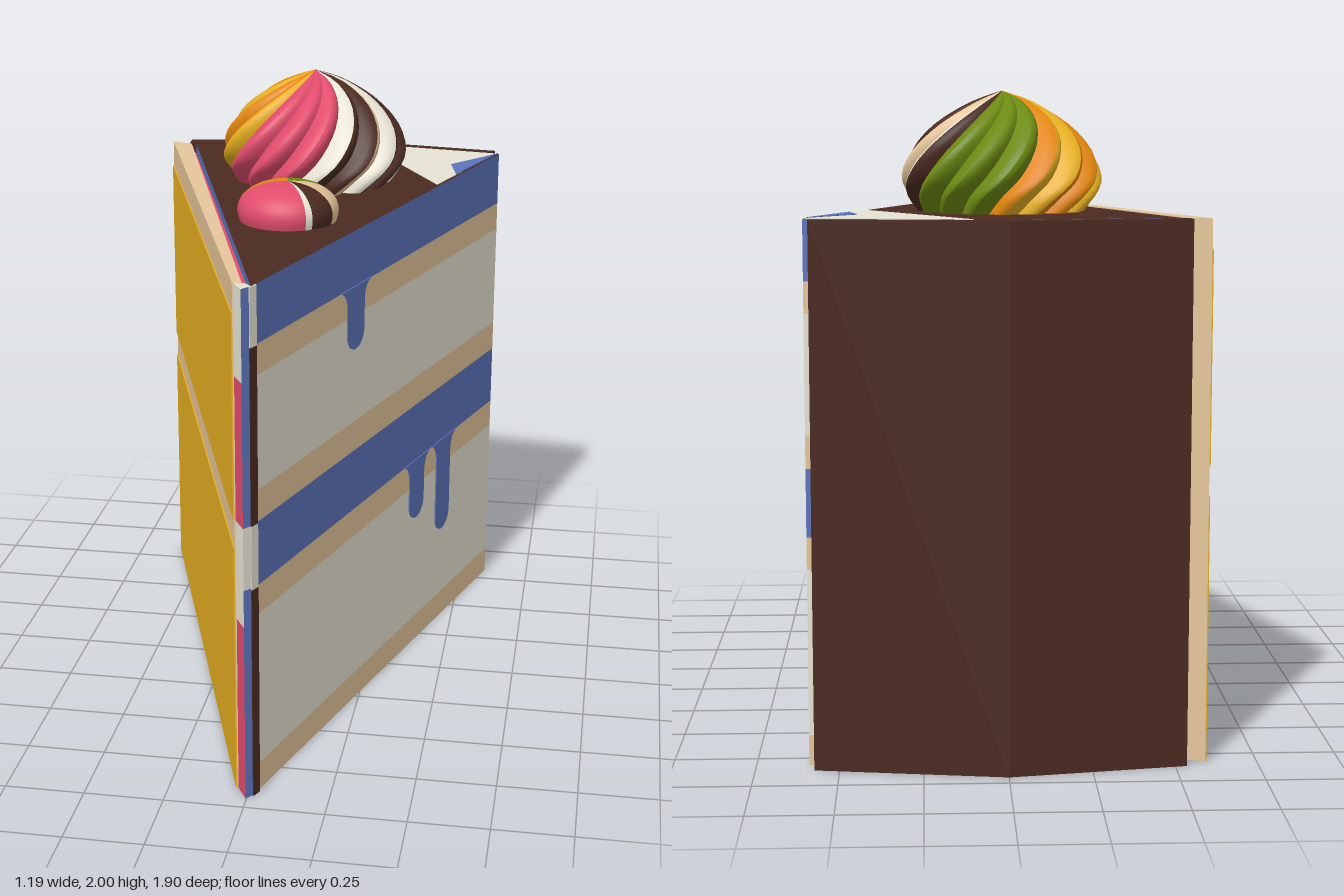
import * as THREE from 'three';

const mat = (name, color) => {
  const m = new THREE.MeshStandardMaterial({ color });
  m.name = name;
  return m;
};
const brown = mat('chocolate', 0x4a2a21);
const blue = mat('blueberry', 0x5d74bd);
const cream = mat('cream', 0xe8e4d4);
const tan = mat('biscuit', 0xe6c69b);
const yellow = mat('custard', 0xe8b021);
const pink = mat('raspberry', 0xe04c6c);
const green = mat('pistachio', 0x6c8a12);
const orange = mat('orange', 0xe2860f);

const H = 1.63;

function add(parent, name, geometry, material) {
  const m = new THREE.Mesh(geometry, material);
  m.name = name;
  parent.add(m);
  return m;
}

// Upright prism from an [x, z] outline between two heights
function prism(parent, name, outline, y0, y1, cap, side = cap) {
  const shape = new THREE.Shape(outline.map(([x, z]) => new THREE.Vector2(x, -z)));
  const g = new THREE.ExtrudeGeometry(shape, { depth: y1 - y0, bevelEnabled: false });
  g.rotateX(-Math.PI / 2).translate(0, y0, 0);
  return add(parent, name, g, [cap, side]);
}

// Sponge and icing layers of the wedge, with thin patches on top and underneath
function buildLayers(cake) {
  const wedge = [[0.02, 0.92], [0.592, -0.82], [0.02, -0.91], [-0.505, -0.8]];
  const bands = [
    [0.002, 0.095, tan], [0.095, 0.6, cream], [0.6, 0.695, tan], [0.695, 0.9, blue],
    [0.9, 1, tan], [1, 1.355, cream], [1.355, 1.45, tan], [1.45, H, blue],
  ];
  for (const [y0, y1, m] of bands) {
    prism(cake, m === blue ? 'icingLayer' : 'spongeLayer', wedge, y0, y1, brown, m);
  }
  prism(cake, 'topCreamPatch', [[0.583, -0.815], [0.1, -0.892], [0.42, -0.33]], H, H + 0.002, cream);
  prism(cake, 'topBluePatch', [[0.58, -0.8], [0.44, -0.62], [0.47, -0.48]], H, H + 0.004, blue);
  prism(cake, 'bottomCreamPatch', [[0.02, 0.9], [0.22, 0.28], [-0.17, 0.28]], 0, 0.002, cream);
  prism(cake, 'bottomBluePatch', [[-0.17, 0.28], [-0.02, 0.28], [-0.28, -0.84], [-0.5, -0.8]], 0, 0.002, blue);
}

// Rounded icing drips on the long +x cut face
function buildDrips(cake) {
  const face = new THREE.Group();
  face.name = 'icingDrips';
  face.position.set(0.02, 0, 0.92);
  face.rotation.y = Math.atan2(1.74, 0.572);
  cake.add(face);
  const w = 0.059, f = 0.06;
  for (const [z, top, bottom] of [[0.28, 1.452, 1.245], [-0.19, 0.697, 0.48], [-0.405, 0.697, 0.35]]) {
    const s = (0.92 - z) * 1.052;
    const shape = new THREE.Shape();
    shape.moveTo(s + w + f, top);
    shape.lineTo(s - w - f, top);
    shape.quadraticCurveTo(s - w, top, s - w, top - 0.07);
    shape.lineTo(s - w, bottom + w);
    shape.absarc(s, bottom + w, w, Math.PI, Math.PI * 2, false);
    shape.lineTo(s + w, top - 0.07);
    shape.quadraticCurveTo(s + w, top, s + w + f, top);
    add(face, 'drip', new THREE.ExtrudeGeometry(shape, { depth: 0.004, bevelEnabled: false, curveSegments: 10 }), blue);
  }
}

// Biscuit slab on the -x side with custard panels, and a narrow recessed raspberry seam
function buildLeftSide(cake) {
  prism(cake, 'sideSlab', [[-0.595, -0.825], [-0.04, 0.89], [-0.007, 0.905], [-0.522, -0.8]], 0, H, tan);
  for (const [y0, y1] of [[0, 0.81], [0.9, 1.54]]) {
    prism(cake, 'custardPanel', [[-0.599, -0.822], [-0.044, 0.89], [-0.039, 0.89], [-0.594, -0.822]], y0, y1, yellow);
  }
  prism(cake, 'raspberrySeam', [[-0.525, -0.79], [-0.01, 0.9], [0.02, 0.92], [-0.505, -0.79]], 0.03, H - 0.03, pink);
}

// Banded slivers at the pointed tip
function buildTip(cake) {
  const left = [[-0.037, 0.89], [-0.003, 0.95], [-0.003, 0.89]];
  const right = [[-0.003, 0.95], [0.02, 0.92], [-0.003, 0.89]];
  const edge = [[0.0185, 0.932], [0.033, 0.9], [0.026, 0.895], [0.012, 0.92]];
  const columns = [
    ['tipLeft', left, [[0, 0.58, pink], [0.58, 0.9, cream], [0.9, 1.35, pink], [1.35, H, cream]]],
    ['tipRight', right, [[0, 0.7, blue], [0.7, 0.9, cream], [0.9, H, blue]]],
    ['tipEdge', edge, [[0, 0.695, brown], [0.695, 0.9, cream], [0.9, 1.45, brown], [1.45, H, cream]]],
  ];
  for (const [name, outline, bands] of columns) {
    for (const [y0, y1, m] of bands) prism(cake, name, outline, y0, y1, cream, m);
  }
}

// Chocolate crust with a thin pistachio layer tucked inside it
function buildBack(cake) {
  const inner = [[-0.49, -0.81], [0.02, -0.89], [0.545, -0.832], [0.574, -0.862], [0, -0.93], [-0.49, -0.86]];
  for (const [y0, y1, m] of [[0.002, 0.695, green], [0.695, 0.9, brown], [0.9, 1.45, green], [1.45, H - 0.002, brown]]) {
    prism(cake, 'pistachioLayer', inner, y0, y1, brown, m);
  }
  prism(cake, 'backCrust',
    [[-0.53, -0.806], [-0.49, -0.815], [0, -0.912], [0.57, -0.86], [0.575, -0.865], [0, -0.95], [-0.535, -0.865]], 0, H, brown);
}

// Part of a twisted piped ridge; v runs across the ridge from v0 to v1
function ridgeGeometry(profile, index, count, v0, v1, twist) {
  const rows = 18, cols = 4, pos = [], idx = [];
  for (let i = 0; i <= rows; i++) {
    const u = i / rows, p = profile.getPoint(u);
    for (let j = 0; j <= cols; j++) {
      const v = v0 + (v1 - v0) * j / cols;
      const a = (index + v) / count * Math.PI * 2 + twist * (u - 0.5);
      const r = Math.max(p.x, 0) * (0.86 + 0.14 * Math.sin(Math.PI * v));
      pos.push(r * Math.cos(a), p.y, -r * Math.sin(a));
    }
  }
  for (let i = 0; i < rows; i++) {
    for (let j = 0; j < cols; j++) {
      const a = i * (cols + 1) + j, b = a + cols + 1;
      idx.push(a, a + 1, b + 1, a, b + 1, b);
    }
  }
  const g = new THREE.BufferGeometry();
  g.setAttribute('position', new THREE.Float32BufferAttribute(pos, 3));
  g.setIndex(idx);
  g.computeVertexNormals();
  return g;
}

// Large piped swirl with two colours along each ridge
function buildSwirl(cake) {
  const swirl = new THREE.Group();
  swirl.name = 'pipedSwirl';
  swirl.position.set(0, H, -0.36);
  cake.add(swirl);
  const profile = new THREE.SplineCurve([
    [0.25, -0.01], [0.295, 0.05], [0.31, 0.11], [0.28, 0.19], [0.205, 0.27], [0.1, 0.335], [0, 0.37],
  ].map(([r, y]) => new THREE.Vector2(r, y)));
  const n = 16;
  for (let i = 0; i < n; i++) {
    const deg = (i + 0.5) * 360 / n, even = i % 2 === 0;
    let pair = even ? [brown, tan] : [cream, brown];
    if (deg > 45 && deg < 115) pair = [green, green];
    else if (deg > 115 && deg < 220) pair = even ? [yellow, orange] : [orange, yellow];
    else if (deg > 220 && deg < 295) pair = [pink, pink];
    pair.forEach((m, k) => add(swirl, 'swirlRidge', ridgeGeometry(profile, i, n, k / 2, (k + 1) / 2, 1.3), m));
  }
}

// Small dome split into coloured sectors
function buildDome(cake) {
  const dome = new THREE.Group();
  dome.name = 'smallDome';
  dome.position.set(0, H, 0.18);
  cake.add(dome);
  const points = new THREE.SplineCurve([
    [0.15, -0.01], [0.16, 0.03], [0.148, 0.068], [0.11, 0.1], [0.06, 0.117], [0, 0.122],
  ].map(([r, y]) => new THREE.Vector2(r, y))).getPoints(14);
  points.forEach((p) => { p.x = Math.max(p.x, 0); });
  const rad = Math.PI / 180;
  const sectors = [
    [-80, 30, pink], [30, 38, cream], [38, 70, brown], [70, 110, tan], [110, 190, green], [190, 280, orange],
  ];
  for (const [a, b, m] of sectors) {
    add(dome, 'domeSector', new THREE.LatheGeometry(points, 8, a * rad, (b - a) * rad), m);
  }
}

export function createModel() {
  const cake = new THREE.Group();
  cake.name = 'cakeSlice';
  [buildLayers, buildDrips, buildLeftSide, buildTip, buildBack, buildSwirl, buildDome].forEach((build) => build(cake));
  return cake;
}
